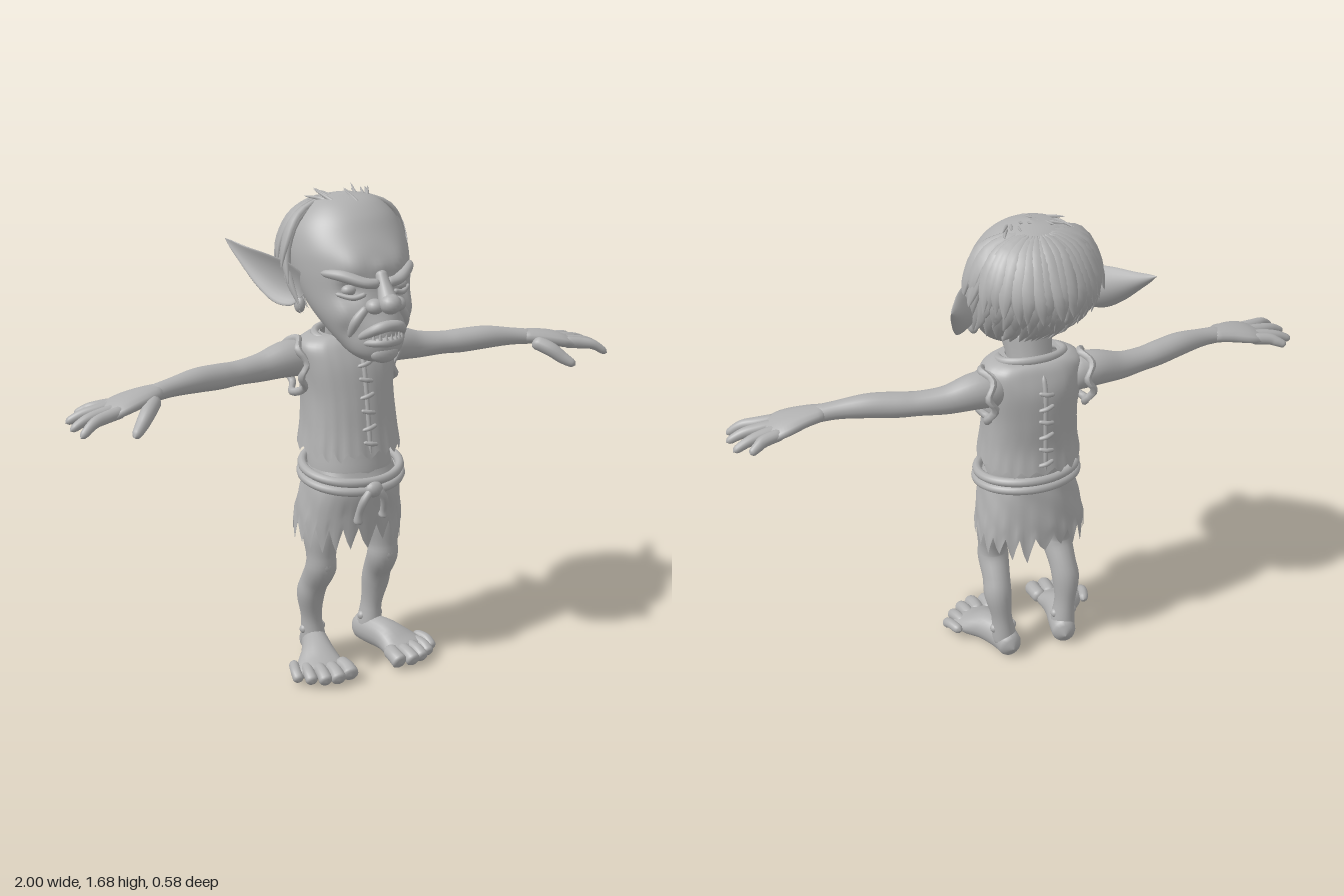
import * as THREE from 'three';

const V = (a) => new THREE.Vector3(a[0], a[1], a[2]);
let seed = 7;
const rnd = () => (seed = (seed * 16807) % 2147483647) / 2147483647;

// Closed-around surface from rings; at(t, angle, j) gives a point
function rings(rows, n, at) {
  const pos = [], idx = [];
  for (let i = 0; i <= rows; i++) for (let j = 0; j < n; j++) pos.push(...at(i / rows, (j / n) * Math.PI * 2, j));
  for (let i = 0; i < rows; i++) for (let j = 0; j < n; j++) {
    const a = i * n + j, b = i * n + ((j + 1) % n);
    idx.push(a, b, a + n, b, b + n, a + n);
  }
  const g = new THREE.BufferGeometry();
  g.setAttribute('position', new THREE.Float32BufferAttribute(pos, 3));
  g.setIndex(idx);
  g.computeVertexNormals();
  return g;
}

// Smooth body profile from sections [y, halfWidth, frontZ, backZ], top to bottom
function profile(secs, pow = 1) {
  const c1 = new THREE.CatmullRomCurve3(secs.map((s) => V(s)), false, 'catmullrom');
  const c2 = new THREE.CatmullRomCurve3(secs.map((s) => V([s[3], 0, 0])), false, 'catmullrom');
  const f = (v) => Math.sign(v) * Math.abs(v) ** pow;
  return (t, a) => {
    const p = c1.getPoint(t), b = c2.getPoint(t).x;
    return [p.y * f(Math.cos(a)), p.x, (p.z + b) / 2 + ((p.z - b) / 2) * f(Math.sin(a))];
  };
}

// Rounded limb through points [x, y, z, radiusAcross, radiusAlongUp]
function limb(pts, up = [0, 1, 0], { rows = 20, n = 14, cap = 0.12, bend = 0 } = {}) {
  const path = new THREE.CatmullRomCurve3(pts.map(V), false, 'catmullrom');
  const rad = new THREE.CatmullRomCurve3(pts.map((p) => V([p[3], p[4] ?? p[3], 0])), false, 'catmullrom');
  const frames = [];
  for (let i = 0; i <= rows; i++) {
    const t = i / rows, T = path.getTangent(t), r = rad.getPoint(t);
    const side = T.clone().cross(V(up)).normalize(), other = T.clone().cross(side);
    const e = Math.min(1, Math.min(t, 1 - t) / cap), k = Math.sqrt(Math.max(0, 1 - (1 - e) ** 2));
    frames.push({ p: path.getPoint(t), side, other, ra: r.x * k, rb: r.y * k });
  }
  return rings(rows, n, (t, a) => {
    const f = frames[Math.round(t * rows)], c = Math.cos(a);
    return f.p.clone().addScaledVector(f.side, f.ra * c)
      .addScaledVector(f.other, f.rb * Math.sin(a) - bend * f.ra * c * c).toArray();
  });
}

export function createModel() {
  const model = new THREE.Group();
  const grey = new THREE.MeshStandardMaterial({ color: 0xb0b0b0, side: THREE.DoubleSide });
  grey.name = 'plain grey';
  const add = (name, geo) => {
    const m = new THREE.Mesh(geo, grey);
    m.name = name;
    model.add(m);
    return m;
  };
  const ball = (name, x, y, z, rx, ry = rx, rz = rx) =>
    add(name, new THREE.SphereGeometry(1, 18, 12).scale(rx, ry, rz).translate(x, y, z));

  // Head with sockets, cheeks and forehead shaped by soft bumps [x, y, z, radius, push]
  const skull = profile([[1.665, 0.002, -0.045, -0.055], [1.648, 0.09, 0.03, -0.13], [1.61, 0.145, 0.085, -0.185],
    [1.56, 0.18, 0.125, -0.22], [1.5, 0.195, 0.165, -0.235], [1.44, 0.195, 0.185, -0.23], [1.38, 0.185, 0.195, -0.19],
    [1.32, 0.168, 0.21, -0.13], [1.27, 0.145, 0.225, -0.07], [1.22, 0.115, 0.235, 0], [1.18, 0.085, 0.23, 0.06],
    [1.155, 0.045, 0.205, 0.11], [1.15, 0.002, 0.17, 0.15]]);
  const bumps = [[0.09, 1.39, 0.16, 0.035, -0.022], [0.12, 1.31, 0.14, 0.04, 0.018], [0.08, 1.46, 0.15, 0.05, 0.016],
    [0.09, 1.25, 0.17, 0.03, -0.012], [0, 1.46, 0.18, 0.025, 0.01], [0, 1.265, 0.22, 0.05, 0.014]];
  add('head', rings(56, 72, (t, a) => {
    const p = skull(t, a);
    let dz = 0;
    for (const [x, y, z, r, k] of bumps)
      dz += k * Math.exp(-((Math.abs(p[0]) - x) ** 2 + (p[1] - y) ** 2 + (p[2] - z) ** 2) / (r * r));
    return [p[0], p[1], p[2] + dz];
  }));
  add('neck', limb([[0, 1.05, -0.07, 0.09], [0, 1.16, -0.045, 0.075], [0, 1.28, 0, 0.09]], [0, 0, 1]));

  // Nose, mouth and chin
  add('noseBridge', limb([[0, 1.45, 0.185, 0.018], [0, 1.4, 0.215, 0.024], [0, 1.35, 0.245, 0.036]], [0, 0, 1]));
  ball('noseTip', 0, 1.355, 0.252, 0.036, 0.033, 0.038);
  add('upperLip', limb([[-0.085, 1.235, 0.185, 0.01], [-0.045, 1.272, 0.238, 0.018], [0, 1.283, 0.25, 0.018],
    [0.045, 1.272, 0.238, 0.018], [0.085, 1.235, 0.185, 0.01]]));
  add('lowerLip', limb([[-0.075, 1.222, 0.19, 0.008], [-0.04, 1.228, 0.236, 0.014], [0, 1.23, 0.25, 0.016],
    [0.04, 1.228, 0.236, 0.014], [0.075, 1.222, 0.19, 0.008]]));
  ball('chin', 0, 1.185, 0.215, 0.05, 0.032, 0.025);
  for (let i = -3; i <= 3; i++) {
    const long = Math.abs(i) === 2 ? 0.034 : 0.022;
    add('tooth', new THREE.ConeGeometry(0.007, long, 8).translate(i * 0.017, 1.24 + long / 2, 0.262 - i * i * 0.0028));
  }

  for (const s of [1, -1]) {
    const L = (name, pts, up, o) => add(name, limb(pts.map(([x, ...r]) => [x * s, ...r]), up, o));
    // Face halves
    ball('nostril', s * 0.04, 1.345, 0.223, 0.03, 0.025, 0.03);
    ball('eye', s * 0.092, 1.388, 0.147, 0.026, 0.019, 0.022);
    L('brow', [[0.008, 1.412, 0.205, 0.016], [0.06, 1.417, 0.196, 0.02, 0.017], [0.12, 1.437, 0.15, 0.018], [0.165, 1.44, 0.09, 0.01]]);
    L('lowerLid', [[0.05, 1.378, 0.186, 0.008], [0.09, 1.367, 0.172, 0.009], [0.135, 1.378, 0.135, 0.007]]);
    L('cheekFold', [[0.055, 1.34, 0.2, 0.012], [0.09, 1.29, 0.187, 0.017], [0.098, 1.235, 0.16, 0.01]], [0, 0, 1]);
    // Pointed cupped ear
    L('ear', [[0.165, 1.365, -0.005, 0.05, 0.014], [0.205, 1.385, -0.06, 0.074, 0.012], [0.25, 1.42, -0.125, 0.06, 0.011],
      [0.3, 1.465, -0.2, 0.028, 0.009], [0.338, 1.505, -0.262, 0.003, 0.003]], [0.8 * s, 0, 0.55], { rows: 28, n: 24, bend: 0.45 });
    ball('earLobe', s * 0.185, 1.315, -0.02, 0.018, 0.028, 0.022);

    // Arm and hand
    L('arm', [[0.1, 1.11, -0.09, 0.06], [0.2, 1.115, -0.09, 0.06, 0.062], [0.3, 1.1, -0.085, 0.045, 0.048], [0.39, 1.098, -0.07, 0.042, 0.04],
      [0.46, 1.1, -0.055, 0.043, 0.042], [0.55, 1.105, -0.035, 0.04, 0.04], [0.65, 1.1, -0.015, 0.031, 0.03],
      [0.74, 1.09, 0, 0.035, 0.026]], undefined, { rows: 36, n: 20, cap: 0.06 });
    L('palm', [[0.67, 1.1, -0.012, 0.028, 0.024], [0.75, 1.09, 0, 0.055, 0.027], [0.82, 1.075, 0.005, 0.072, 0.026], [0.88, 1.055, 0.008, 0.066, 0.018]]);
    [[0.062, 0.985, 0.098, 1.02], [0.025, 0.998, 0.038, 1.028], [-0.018, 0.99, -0.032, 1.032], [-0.05, 0.945, -0.078, 1.04]].forEach(([z, x, zt, y], i) =>
      L('finger', [[0.82, 1.07, z * 0.75, 0.02], [0.89, 1.062, z, 0.02], [(x + 0.89) / 2, 1.053, (z + zt) / 2, 0.017], [x, y, zt, 0.012]]));
    L('thumb', [[0.71, 1.085, 0.02, 0.025], [0.755, 1.06, 0.07, 0.025], [0.79, 1.03, 0.1, 0.021], [0.825, 1.005, 0.13, 0.013]]);

    // Leg, foot and toes
    L('leg', [[0.09, 0.66, -0.05, 0.07, 0.08], [0.115, 0.52, -0.015, 0.066, 0.075], [0.122, 0.43, -0.002, 0.052, 0.055], [0.122, 0.375, -0.005, 0.054, 0.055],
      [0.126, 0.31, -0.045, 0.048, 0.052], [0.13, 0.25, -0.07, 0.048, 0.052], [0.122, 0.16, -0.083, 0.036, 0.043],
      [0.115, 0.08, -0.085, 0.043, 0.05], [0.115, 0.04, -0.085, 0.04, 0.05]], [0, 0, 1], { rows: 36, n: 20, cap: 0.05 });
    ball('kneeCap', s * 0.122, 0.392, 0.026, 0.033, 0.036, 0.028);
    L('foot', [[0.1, 0.046, -0.152, 0.042, 0.046], [0.113, 0.055, -0.08, 0.046, 0.055], [0.14, 0.055, 0, 0.058, 0.055],
      [0.165, 0.038, 0.07, 0.084, 0.038], [0.178, 0.028, 0.125, 0.08, 0.026]], undefined, { n: 20 });
    for (const sx of [1, -1]) ball('ankleBone', s * (0.117 + sx * 0.032), 0.11, -0.085, 0.017);
    [[0.095, 0.18], [0.145, 0.188], [0.188, 0.175], [0.228, 0.148], [0.262, 0.112]].forEach(([x, z], i) => {
      const r = 0.03 - i * 0.0025;
      L('toe', [[x * 0.85 + 0.02, 0.045, z - 0.095, r * 0.9], [x, 0.043, z - 0.04, r * 0.9], [x + 0.004, r, z, r]], undefined, { cap: 0.2 });
    });

    // Ragged armhole rim
    const rim = new THREE.TorusGeometry(0.082, 0.013, 8, 36).scale(0.88, 1.1, 1).rotateY(Math.PI / 2);
    const p = rim.attributes.position;
    for (let i = 0; i < p.count; i++) p.setX(i, p.getX(i) + 0.012 * Math.sin(5 * Math.atan2(p.getY(i), p.getZ(i))));
    rim.translate(s * 0.172, 1.09, -0.085).computeVertexNormals();
    add('armholeRim', rim);
  }

  // Hair: layered locks falling from the crown round the back and sides
  for (let layer = 0; layer < 3; layer++) for (let i = 0; i <= 22; i++) {
    const a = Math.PI + 0.12 + (i / 22) * (Math.PI - 0.24) + (rnd() - 0.5) * 0.1;
    const back = -Math.sin(a), end = 0.38 + 0.1 * layer + 0.05 * rnd() + 0.05 * back;
    const pts = [0.1, 0.35, 0.7, 1].map((u, k) => {
      const [x, y, z] = skull(0.06 + u * (end - 0.06), a + (rnd() - 0.5) * 0.05 * k);
      const pull = k === 0 ? 0.5 : 0, o = [0.004, 0.014, 0.026, 0.034 + 0.02 * rnd()][k] - layer * 0.003;
      return [x * (1 - pull) + Math.cos(a) * o, y + (k ? 0 : 0.006), z * (1 - pull) - 0.12 * pull - back * o - (k > 1 ? 0.012 * back : 0),
        [0.014, 0.03, 0.026, 0.003][k], [0.008, 0.013, 0.011, 0.002][k]];
    });
    add('hairLock', limb(pts, [Math.cos(a), 0.3, Math.sin(a)], { rows: 12, n: 8 }));
  }
  // Sparse tuft on top
  for (let i = 0; i < 13; i++) {
    const x = (i - 6) * 0.014, z = 0.07 - Math.abs(i - 6) * 0.008 - rnd() * 0.05, h = 1.665 + rnd() * 0.03 - Math.abs(x) * 0.25;
    add('tuftStrand', limb([[x * 0.5, 1.61, z, 0.007], [x, 1.645, z - 0.04, 0.007], [x * 1.5 + (rnd() - 0.5) * 0.03, h, z - 0.12, 0.002]], [0, 0.8, 0.6], { rows: 10, n: 6 }));
  }

  // Ragged garments: the hem of each column drops by its own depth
  const garment = (name, secs, n, drop, pow) => {
    const f = profile(secs, pow), depth = Array.from({ length: n }, () => rnd());
    const tooth = (j) => [0, 0.45, 1, 0.6][j % 4] * (0.45 + 0.55 * depth[j - (j % 4)]);
    add(name, rings(32, n, (t, a, j) => {
      const [x, y, z] = f(t, a), k = 1 + 0.012 * Math.sin(7 * a + 5 * t) * Math.sin(9 * t + a);
      return [x * k, y - drop * tooth(j) * t ** 3, z * k];
    }));
  };
  garment('vest', [[1.2, 0.085, 0.015, -0.12], [1.195, 0.13, 0.025, -0.145], [1.165, 0.168, 0.05, -0.165], [1.1, 0.165, 0.08, -0.185],
    [1.0, 0.155, 0.1, -0.185], [0.9, 0.16, 0.115, -0.18], [0.82, 0.172, 0.13, -0.19]], 88, 0.035, 0.85);
  add('waist', rings(16, 40, profile([[0.95, 0.11, 0.07, -0.14], [0.8, 0.14, 0.1, -0.165], [0.7, 0.145, 0.11, -0.15], [0.56, 0.12, 0.06, -0.14], [0.53, 0.01, -0.03, -0.05]])));
  garment('skirt', [[0.745, 0.145, 0.11, -0.16], [0.68, 0.165, 0.13, -0.17], [0.6, 0.182, 0.118, -0.182], [0.545, 0.192, 0.11, -0.19]], 88, 0.1, 0.88);

  // Vest collar, seams and lacing on front and back
  add('collar', new THREE.TorusGeometry(0.1, 0.014, 8, 40).rotateX(Math.PI / 2).scale(1.1, 1, 0.78).rotateX(0.2).translate(0, 1.192, -0.052));
  add('frontSeam', limb([[0, 1.17, 0.05, 0.008], [0, 1.1, 0.081, 0.008], [0, 1, 0.101, 0.008], [0, 0.81, 0.13, 0.008]], [0, 0, 1]));
  add('backSeam', limb([[0, 1.17, -0.165, 0.008], [0, 1.1, -0.186, 0.008], [0, 1, -0.187, 0.008], [0, 0.81, -0.19, 0.008]], [0, 0, 1]));
  for (let i = 0; i < 6; i++) {
    const y = 0.85 + i * 0.053, zf = 0.128 - i * 0.0085, tilt = i % 2 ? 0.007 : -0.007;
    for (const z of [zf, -0.193]) add('lace', limb([[-0.027, y - tilt, z, 0.006], [0, y, z + Math.sign(z) * 0.007, 0.008], [0.027, y + tilt, z, 0.006]], undefined, { n: 8 }));
  }

  // Rope belt, lower at the front, with knot and hanging ends
  for (const [dy, r] of [[0.016, 0.171], [-0.014, 0.175]])
    add('beltRope', new THREE.TorusGeometry(r, 0.016, 10, 56).rotateX(Math.PI / 2).scale(1, 1, 0.9).rotateX(0.15).translate(0, 0.725 + dy, -0.012));
  ball('beltKnot', 0, 0.695, 0.152, 0.032, 0.028, 0.022);
  for (const [x, y] of [[-0.05, 0.57], [0.045, 0.58]])
    add('beltEnd', limb([[x * 0.2, 0.7, 0.155, 0.014], [x * 0.8, 0.66, 0.155, 0.014], [x, 0.61, 0.14, 0.013], [x, y, 0.132, 0.019]], [0, 0, 1], { n: 10 }));
  return model;
}
